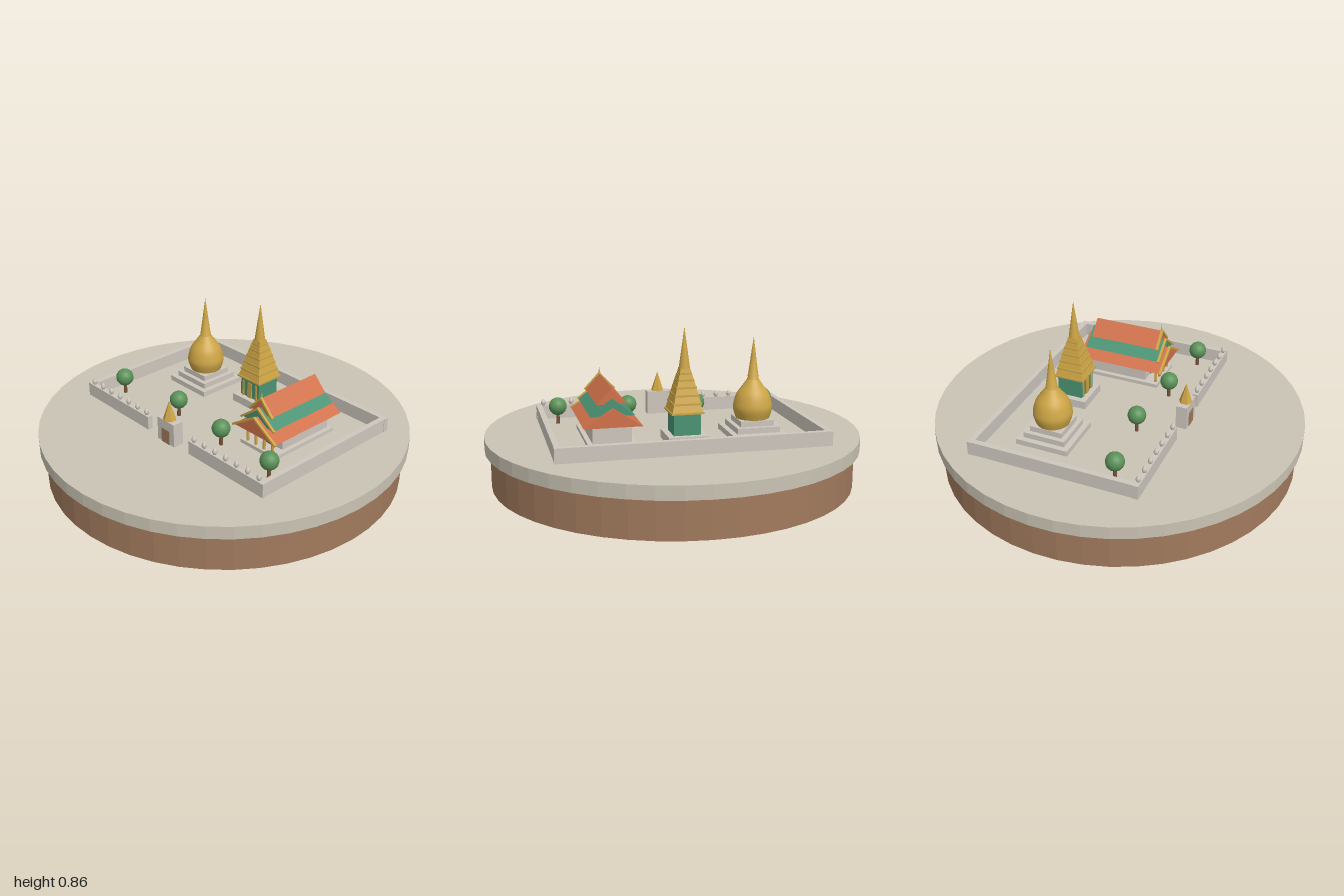
import * as THREE from 'three';

const mat = (name, color) => {
  const m = new THREE.MeshStandardMaterial({ color });
  m.name = name;
  return m;
};

export function createModel() {
  const M = {
    ground: mat('pale ground', 0xc9c3b3),
    stone: mat('stone', 0xcdc6bd),
    earth: mat('earth brown', 0xa17a5d),
    gold: mat('gold', 0xcda545),
    orange: mat('orange tile', 0xd0714a),
    green: mat('green tile', 0x4a9273),
    leaf: mat('leaf green', 0x5a9158),
    wood: mat('dark wood', 0x74523a),
  };
  const model = new THREE.Group();
  model.name = 'templeDiorama';

  const add = (parent, name, geo, material, x = 0, y = 0, z = 0) => {
    const mesh = new THREE.Mesh(geo, material);
    mesh.name = name;
    mesh.position.set(x, y, z);
    parent.add(mesh);
    return mesh;
  };
  const group = (parent, name, x = 0, y = 0, z = 0) => {
    const g = new THREE.Group();
    g.name = name;
    g.position.set(x, y, z);
    parent.add(g);
    return g;
  };
  const faceted = (geo) => {
    const g = geo.toNonIndexed();
    g.computeVertexNormals();
    return g;
  };
  // box standing on height y
  const block = (parent, name, w, h, d, material, x, y, z) =>
    add(parent, name, new THREE.BoxGeometry(w, h, d), material, x, y + h / 2, z);
  // square frustum standing on height y
  const frustum = (parent, name, bottom, top, h, material, y) => {
    const g = new THREE.CylinderGeometry(top * Math.SQRT1_2, bottom * Math.SQRT1_2, h, 4);
    g.rotateY(Math.PI / 4);
    return add(parent, name, faceted(g), material, 0, y + h / 2, 0);
  };

  // round plinth
  add(model, 'plinth', faceted(new THREE.CylinderGeometry(0.97, 0.97, 0.2, 48)), M.earth, 0, 0.1, 0);
  add(model, 'groundDisc', faceted(new THREE.CylinderGeometry(1, 1, 0.07, 48)), M.ground, 0, 0.235, 0);

  // everything else stands in a turned courtyard
  const yard = group(model, 'courtyard', 0.02, 0.27, -0.07);
  yard.rotation.y = -Math.PI / 9;

  // enclosing walls with bud finials on the front
  const walls = group(yard, 'walls');
  const wallH = 0.076;
  block(walls, 'backWall', 1.4, wallH, 0.03, M.stone, 0, 0, -0.45);
  const bud = new THREE.LatheGeometry(
    [[0.008, 0], [0.014, 0.012], [0.012, 0.022], [0.006, 0.032], [0, 0.038]].map((p) => new THREE.Vector2(...p)), 8);
  for (const s of [-1, 1]) {
    block(walls, 'sideWall', 0.03, wallH, 0.93, M.stone, s * 0.683, 0, 0);
    block(walls, 'frontWall', 0.536, wallH, 0.03, M.stone, s * 0.432, 0, 0.45);
    for (let i = 0; i < 7; i++) add(walls, 'wallFinial', bud, M.stone, s * (0.192 + i * 0.078), wallH, 0.45);
  }

  // gate with a spire
  const gate = group(yard, 'gate', 0.003, 0, 0.45);
  block(gate, 'gateBlock', 0.13, 0.13, 0.06, M.stone, 0, 0, 0);
  block(gate, 'gateDoor', 0.06, 0.08, 0.006, M.earth, 0, 0, 0.031);
  add(gate, 'gateSpire', faceted(new THREE.ConeGeometry(0.037, 0.11, 6)), M.gold, 0, 0.185, 0);

  // trees
  for (const [x, z] of [[-0.584, 0.297], [-0.172, 0.244], [0.209, 0.281], [0.594, 0.316]]) {
    const tree = group(yard, 'tree', x, 0, z);
    add(tree, 'trunk', new THREE.CylinderGeometry(0.008, 0.011, 0.07, 8), M.wood, 0, 0.035, 0);
    add(tree, 'crown', new THREE.SphereGeometry(0.049, 16, 12), M.leaf, 0, 0.097, 0);
  }

  // bell-shaped tower on three square steps
  const bell = group(yard, 'bellTower', -0.38, 0, -0.138);
  [0.29, 0.23, 0.18].forEach((w, i) => block(bell, 'bellStep', w, 0.03, w, M.stone, 0, i * 0.03, 0));
  const bellCurve = new THREE.SplineCurve(
    [[0.088, 0.09], [0.102, 0.135], [0.1, 0.17], [0.084, 0.22], [0.052, 0.265], [0.031, 0.295]]
      .map((p) => new THREE.Vector2(...p)));
  add(bell, 'bellBody', new THREE.LatheGeometry(bellCurve.getPoints(20), 32), M.gold);
  for (let i = 0; i < 6; i++) {
    const r = 0.033 - i * 0.003;
    add(bell, 'bellRing', new THREE.CylinderGeometry(r * 0.78, r, 0.02, 24), M.gold, 0, 0.3 + i * 0.02, 0);
  }
  add(bell, 'bellSpire', new THREE.ConeGeometry(0.016, 0.12, 16), M.gold, 0, 0.46, 0);

  // stepped tower with a tall spire
  const tower = group(yard, 'steppedTower', 0.004, 0, -0.193);
  block(tower, 'towerPlatform', 0.205, 0.045, 0.205, M.stone, 0, 0, 0);
  block(tower, 'towerBody', 0.14, 0.115, 0.14, M.green, 0, 0.045, 0);
  for (const x of [-0.05, 0, 0.05])
    block(tower, 'towerPilaster', x ? 0.012 : 0.032, 0.09, 0.006, M.gold, x, 0.045, 0.072);
  let y = 0.155;
  [0.17, 0.148, 0.126, 0.104, 0.083, 0.063].forEach((w, i) => {
    const h = 0.045 - i * 0.003;
    frustum(tower, 'tierLip', w, w, 0.01, M.gold, y);
    frustum(tower, 'towerTier', w * 0.94, w * 0.82, h - 0.01, M.gold, y + 0.01);
    y += h;
  });
  add(tower, 'towerSpire', new THREE.ConeGeometry(0.029, 0.59 - y, 16), M.gold, 0, (0.59 + y) / 2, 0);

  // hall with three overlapping gable roofs
  const hall = group(yard, 'hall', 0.383, 0, -0.03);
  block(hall, 'hallBase', 0.25, 0.02, 0.44, M.stone, 0, 0, 0);
  block(hall, 'hallBody', 0.2, 0.12, 0.34, M.stone, 0, 0, -0.03);
  block(hall, 'hallDoor', 0.05, 0.08, 0.006, M.wood, 0, 0.02, 0.142);
  for (const x of [-0.09, -0.03, 0.03, 0.09])
    add(hall, 'hallColumn', new THREE.CylinderGeometry(0.008, 0.008, 0.1, 10), M.gold, x, 0.07, 0.2);

  const roofs = [
    // half width, length, eave height, ridge height, material
    [0.15, 0.49, 0.11, 0.205, M.orange],
    [0.113, 0.44, 0.163, 0.25, M.green],
    [0.077, 0.395, 0.218, 0.3, M.orange],
  ];
  for (const [hw, len, eave, ridge, material] of roofs) {
    const gable = new THREE.Shape();
    gable.moveTo(-hw, eave).lineTo(hw, eave).lineTo(0, ridge).closePath();
    const geo = new THREE.ExtrudeGeometry(gable, { depth: len, bevelEnabled: false });
    add(hall, 'roofTier', geo, material, 0, 0, -len / 2);
    // gold bargeboards along the front gable
    const slope = Math.atan2(ridge - eave, hw);
    for (const s of [-1, 1]) {
      const board = add(hall, 'bargeboard',
        new THREE.BoxGeometry(Math.hypot(hw, ridge - eave) + 0.008, 0.011, 0.014), M.gold,
        s * hw / 2, (eave + ridge) / 2, len / 2 + 0.001);
      board.rotation.z = -s * slope;
    }
  }
  add(hall, 'ridgeFinial', new THREE.ConeGeometry(0.006, 0.04, 8), M.gold, 0, 0.318, 0.195);

  return model;
}
